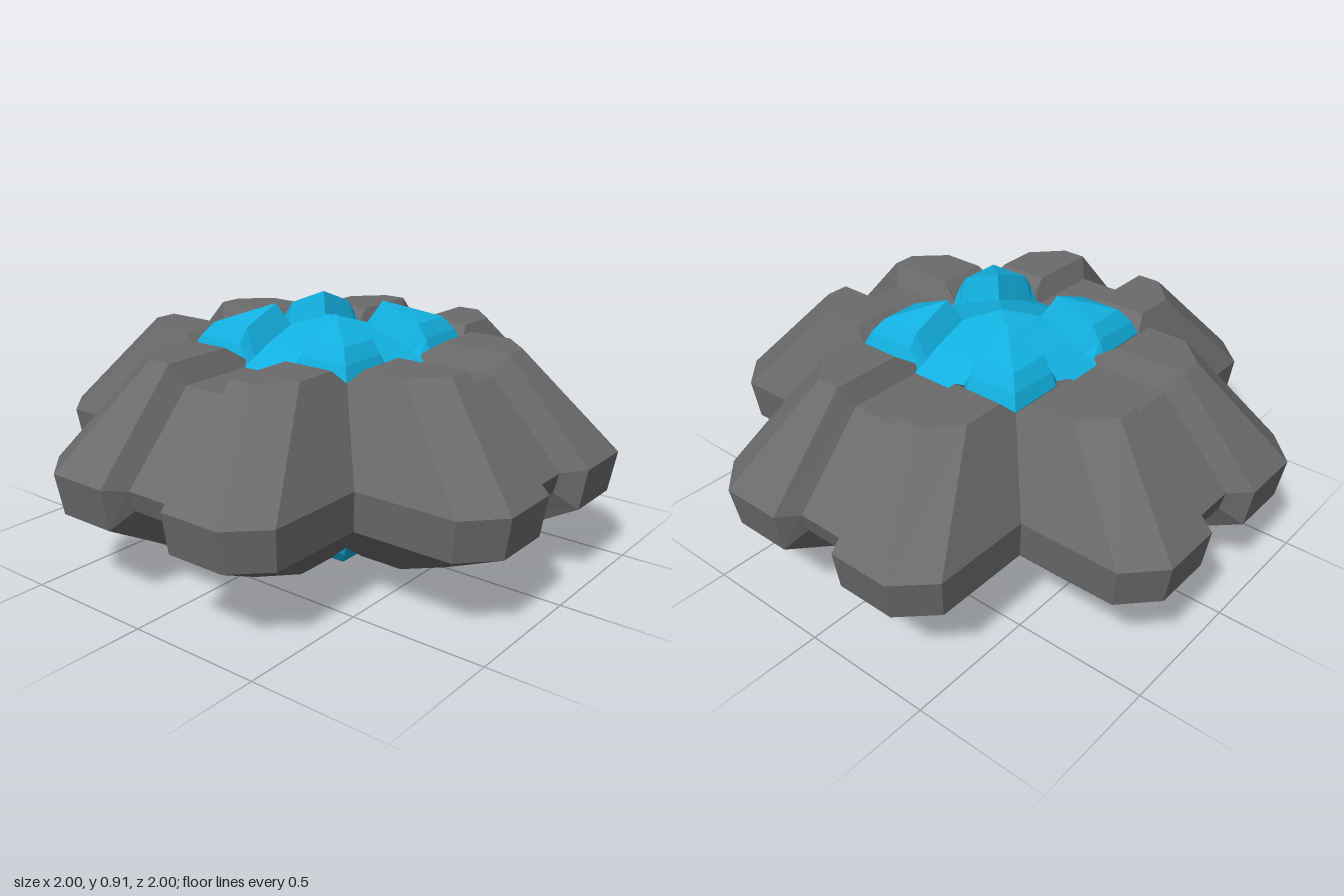
import * as THREE from 'three';

const grey = new THREE.MeshStandardMaterial({ color: 0x6b6b6b, flatShading: true });
const blue = new THREE.MeshStandardMaterial({ color: 0x12b0e0, flatShading: true });

function facetedGeometry(points, faces) {
  const geometry = new THREE.BufferGeometry();
  geometry.setAttribute('position', new THREE.Float32BufferAttribute(points.flat(), 3));
  // Fan every polygon into triangles
  geometry.setIndex(faces.flatMap(f => f.slice(2).flatMap((v, i) => [f[0], f[i + 1], v])));
  const flat = geometry.toNonIndexed();
  flat.computeVertexNormals();
  return flat;
}

// Two chamfered lobes with a recessed groove between them, lofted from top to bottom
function armGeometry() {
  // y, outer z, chamfer x, outer x, chamfer z, inner z; groove y, groove outer z, groove inner z
  const levels = [
    [0.80, 0.68, 0.23, 0.335, 0.57, 0.41, 0.725, 0.64, 0.30],
    [0.45, 1.00, 0.375, 0.50, 0.88, 0.05, 0.43, 0.915, 0.05],
    [0.30, 0.975, 0.365, 0.485, 0.86, 0.05, 0.355, 0.895, 0.05],
    [0.135, 0.68, 0.23, 0.335, 0.57, 0.41, 0.225, 0.64, 0.30],
  ];
  const points = [], faces = [];
  for (const [y, zo, xc, xo, zc, zi, gy, gz, gi] of levels) {
    const half = [[0.10, gy, gi], [0.14, y, zi], [xo, y, zi], [xo, y, zc], [xc, y, zo], [0.14, y, zo], [0.10, gy, gz]];
    points.push(...half, ...half.map(([x, py, z]) => [-x, py, z]).reverse());
  }
  const n = 14;
  for (let l = 0; l < levels.length - 1; l++) {
    for (let i = 0; i < n; i++) {
      const a = l * n + i, b = l * n + (i + 1) % n;
      faces.push([a, b, b + n, a + n]);
    }
  }
  // Caps: lobe tops, groove walls and groove floor
  const last = (levels.length - 1) * n;
  for (const f of [[1, 2, 3, 4, 5], [0, 1, 5, 6], [13, 0, 6, 7], [8, 9, 10, 11, 12], [12, 13, 7, 8]]) {
    faces.push([...f].reverse(), f.map(i => i + last));
  }
  return facetedGeometry(points, faces);
}

// Low pyramid crossed by grooves, with four raised corner lobes, mirrored below
function coreGeometry() {
  const lines = [0, 0.10, 0.14, 0.235, 0.30, 0.335, 0.355, 0.357];
  const groove = [0.87, 0.835, 0.82, 0.785, 0.753, 0.735, 0.725, 0.46];
  const lobe = [0.87, 0.835, 0.915, 0.877, 0.85, 0.80, 0.75, 0.46];
  const m = lines.length - 1, size = 2 * m + 1;
  const points = [], faces = [];
  for (const below of [false, true]) {
    const base = points.length;
    for (let j = -m; j <= m; j++) {
      for (let i = -m; i <= m; i++) {
        const a = Math.abs(i), b = Math.abs(j);
        const y = (Math.min(a, b) < 2 ? groove : lobe)[Math.max(a, b)];
        points.push([Math.sign(i) * lines[a], below ? 0.917 - y : y, Math.sign(j) * lines[b]]);
      }
    }
    for (let j = 0; j < 2 * m; j++) {
      for (let i = 0; i < 2 * m; i++) {
        const p = base + j * size + i, q = p + 1, r = p + size, s = r + 1;
        // Split each cell along the diagonal that points to the centre
        const radial = (i < m) === (j < m);
        const cells = radial ? [[p, r, s], [p, s, q]] : [[p, r, q], [r, s, q]];
        faces.push(...cells.map(f => (below ? f.reverse() : f)));
      }
    }
  }
  return facetedGeometry(points, faces);
}

export function createModel() {
  const model = new THREE.Group();
  model.name = 'fourArmedBlock';

  const core = new THREE.Mesh(coreGeometry(), blue);
  core.name = 'core';
  model.add(core);

  // Four equal arms around the core
  const arm = armGeometry();
  ['frontArm', 'leftArm', 'backArm', 'rightArm'].forEach((name, i) => {
    const mesh = new THREE.Mesh(arm, grey);
    mesh.name = name;
    mesh.rotation.y = i * Math.PI / 2;
    model.add(mesh);
  });
  return model;
}
